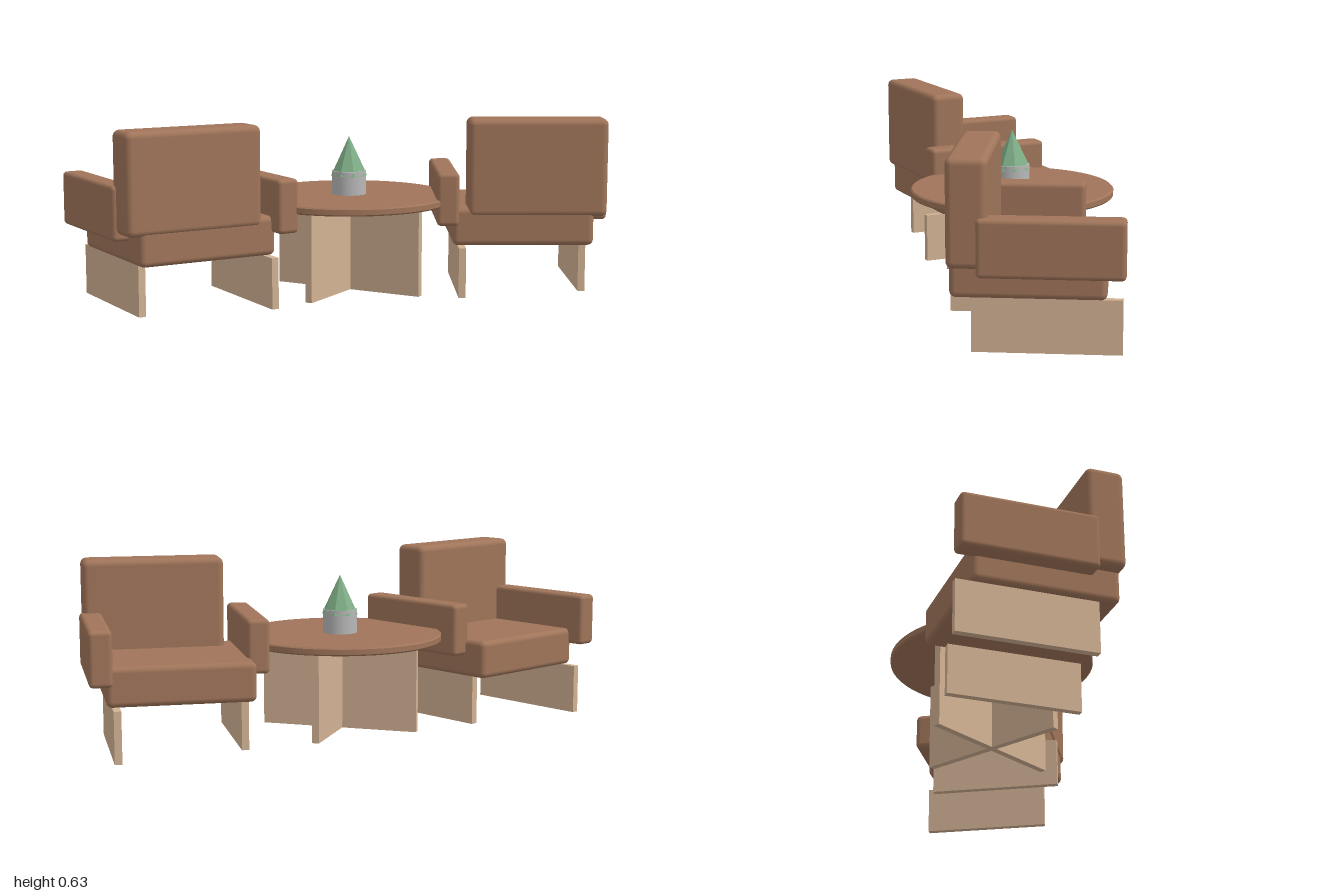
import * as THREE from 'three';
import { RoundedBoxGeometry } from 'three/addons/geometries/RoundedBoxGeometry.js';

const TILT = THREE.MathUtils.degToRad(15);

function makeMaterial(name, color) {
  const material = new THREE.MeshStandardMaterial({ color });
  material.name = name;
  return material;
}

export function createModel() {
  const model = new THREE.Group();
  model.name = 'loungeSet';

  const leather = makeMaterial('brownLeather', 0xa0755a);
  const wood = makeMaterial('paleWood', 0xd2b294);
  const grey = makeMaterial('potGrey', 0xb8b8b8);
  const green = makeMaterial('plantGreen', 0x7fae87);
  green.flatShading = true;

  function add(parent, name, geometry, material, x, y, z, turn = 0) {
    const mesh = new THREE.Mesh(geometry, material);
    mesh.name = name;
    mesh.position.set(x, y, z);
    mesh.rotation.y = turn;
    parent.add(mesh);
    return mesh;
  }

  // Shared armchair geometry
  const seat = new RoundedBoxGeometry(0.5, 0.136, 0.49, 4, 0.02);
  const back = new RoundedBoxGeometry(0.492, 0.347, 0.13, 4, 0.022);
  const arm = new RoundedBoxGeometry(0.078, 0.187, 0.459, 4, 0.015);
  const leg = new THREE.BoxGeometry(0.025, 0.177, 0.472);

  // Two mirrored armchairs; every part turns about its own centre
  for (const side of [-1, 1]) {
    const chair = new THREE.Group();
    chair.name = side > 0 ? 'leftArmchair' : 'rightArmchair';
    chair.position.x = side * 0.625;
    const turn = -side * TILT;
    add(chair, 'seat', seat, leather, 0, 0.245, 0.0435, turn);
    add(chair, 'backrest', back, leather, 0, 0.4535, 0.2355, turn);
    for (const end of [-1, 1]) {
      add(chair, 'armrest', arm, leather, end * 0.28, 0.3495, 0.0425, turn);
      add(chair, 'legPanel', leg, wood, end * 0.227, 0.0885, 0.044, turn);
    }
    model.add(chair);
  }

  // Round table with a softened rim on a crossed panel base
  const table = new THREE.Group();
  table.name = 'table';
  const rim = [[0, 0.32], [0.359, 0.32], [0.359, 0.32], [0.364, 0.325], [0.364, 0.325],
    [0.364, 0.343], [0.364, 0.343], [0.359, 0.348], [0.359, 0.348], [0, 0.348]];
  add(table, 'tableTop', new THREE.LatheGeometry(rim.map(([r, y]) => new THREE.Vector2(r, y)), 64),
    leather, 0, 0, 0);
  const panel = new THREE.BoxGeometry(0.575, 0.32, 0.025);
  for (const turn of [-1, 1]) {
    add(table, 'basePanel', panel, wood, 0, 0.16, 0, turn * Math.PI / 4);
  }
  model.add(table);

  // Potted cone plant
  const plant = new THREE.Group();
  plant.name = 'pottedPlant';
  add(plant, 'pot', new THREE.CylinderGeometry(0.062, 0.062, 0.084, 32), grey, 0, 0.39, 0);
  add(plant, 'foliage', new THREE.ConeGeometry(0.067, 0.14, 8), green, 0, 0.485, 0);
  model.add(plant);

  return model;
}
